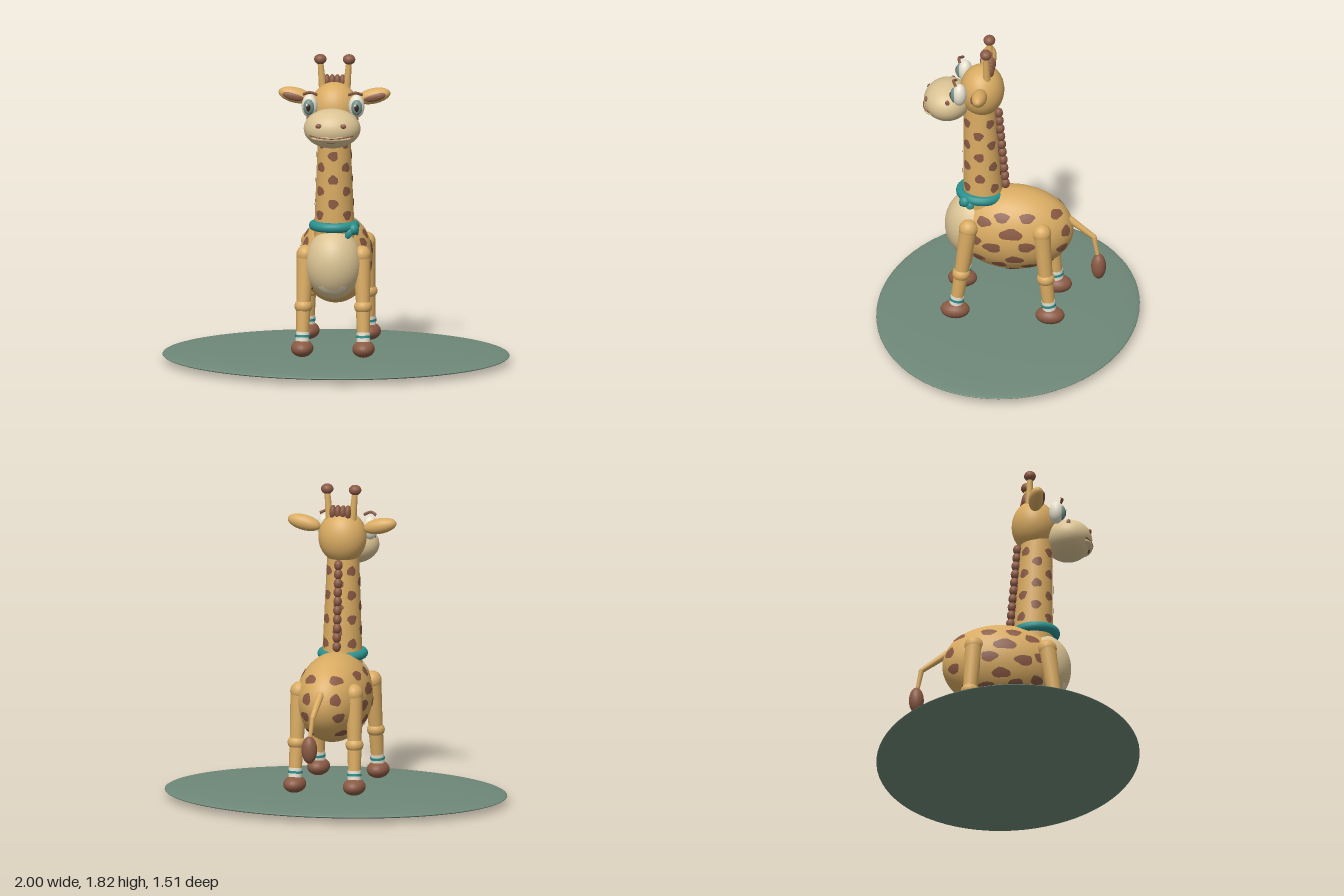
import * as THREE from 'three';

const mat = (name, color) => Object.assign(new THREE.MeshStandardMaterial({ color }), { name });

export function createModel() {
  const tan = mat('tan coat', 0xd9ab62), brown = mat('brown', 0x8a5a44);
  const cream = mat('cream', 0xdac394), teal = mat('teal', 0x2a918e);
  const green = mat('grey green', 0x6e8878), white = mat('off white', 0xeae4d2);
  const iris = mat('iris grey', 0x74928a), dark = mat('dark', 0x33231c);
  const pale = mat('pale cream', 0xe6d9b8);

  const model = new THREE.Group();
  model.name = 'giraffe';
  const V = (x, y, z) => new THREE.Vector3(x, y, z);
  const group = (name, parent = model) => {
    const g = new THREE.Group();
    g.name = name;
    parent.add(g);
    return g;
  };
  const add = (name, geo, m, parent = model) => {
    const mesh = new THREE.Mesh(geo, m);
    mesh.name = name;
    parent.add(mesh);
    return mesh;
  };
  // Ellipsoid from centre, radii and rotation
  const ball = (name, m, pos, rad, parent, rot = [0, 0, 0], seg = 28) => {
    const mesh = add(name, new THREE.SphereGeometry(1, seg, Math.round(seg * 0.65)), m, parent);
    mesh.position.set(...pos);
    mesh.scale.set(...rad);
    mesh.rotation.set(...rot);
    return mesh;
  };
  // Tapered limb between two points
  const limb = (name, m, a, b, ra, rb, parent) => {
    const d = b.clone().sub(a);
    const mesh = add(name, new THREE.CylinderGeometry(rb, ra, d.length(), 24), m, parent);
    mesh.position.copy(a).add(b).multiplyScalar(0.5);
    mesh.quaternion.setFromUnitVectors(V(0, 1, 0), d.normalize());
    return mesh;
  };
  const tube = (name, m, pts, r, parent) =>
    add(name, new THREE.TubeGeometry(new THREE.CatmullRomCurve3(pts), 20, r, 8), m, parent);
  // Uneven disc laid onto a surface by a rule
  const patch = (name, m, rx, ry, seed, place, parent) => {
    const geo = new THREE.RingGeometry(0.001, 1, 14, 4);
    const p = geo.attributes.position;
    for (let i = 0; i < p.count; i++) {
      const x = p.getX(i), y = p.getY(i), a = Math.atan2(y, x);
      const w = 1 + 0.1 * Math.sin(3 * a + seed) + 0.06 * Math.sin(5 * a + seed * 2);
      const q = place(x * rx * w, y * ry * w);
      p.setXYZ(i, q.x, q.y, q.z);
    }
    geo.computeVertexNormals();
    return add(name, geo, m, parent);
  };

  // Ground disc
  ball('ground', green, [0, 0.04, 0], [1, 0.04, 0.755], model, [0, 0, 0], 72);

  // Body and chest
  const bodyC = V(0, 0.605, -0.03), bodyR = V(0.21, 0.257, 0.35);
  const chestC = V(0, 0.61, 0.2), chestR = V(0.165, 0.205, 0.165);
  ball('body', tan, bodyC.toArray(), bodyR.toArray(), model, [0, 0, 0], 48);
  ball('chest', cream, chestC.toArray(), chestR.toArray(), model, [0, 0, 0], 40);

  // Pale crescent on the chest
  const crescent = new THREE.RingGeometry(0.6, 1, 24, 4, Math.PI * 1.1, Math.PI * 0.8);
  const cp = crescent.attributes.position;
  for (let i = 0; i < cp.count; i++) {
    const x = cp.getX(i) * 0.09, y = 0.515 + cp.getY(i) * 0.06;
    const k = (x / chestR.x) ** 2 + ((y - chestC.y) / chestR.y) ** 2;
    cp.setXYZ(i, x, y, chestC.z + 0.003 + chestR.z * Math.sqrt(1 - k));
  }
  crescent.computeVertexNormals();
  add('chestCrescent', crescent, pale);

  // Coat spots: z, y, half width, half height, on both flanks
  const spots = group('bodySpots');
  [[0.015, 0.755, 0.045, 0.03], [0.12, 0.72, 0.045, 0.03], [-0.04, 0.665, 0.07, 0.035],
    [0.07, 0.57, 0.055, 0.032], [-0.13, 0.755, 0.045, 0.03], [-0.29, 0.75, 0.045, 0.03],
    [-0.345, 0.645, 0.035, 0.035], [-0.325, 0.54, 0.04, 0.03], [-0.13, 0.585, 0.05, 0.032],
    [-0.06, 0.49, 0.055, 0.03], [0.03, 0.44, 0.045, 0.028], [-0.14, 0.425, 0.045, 0.028],
    [0.15, 0.47, 0.04, 0.028], [-0.24, 0.435, 0.045, 0.028], [-0.22, 0.66, 0.04, 0.035],
    [0.17, 0.6, 0.04, 0.03], [-0.04, 0.385, 0.04, 0.03],
  ].forEach(([z, y, w, h], i) => [1, -1].forEach((s) => {
    const uz = (z - bodyC.z) / bodyR.z, uy = (y - bodyC.y) / bodyR.y;
    const c = V(s * Math.sqrt(Math.max(0.01, 1 - uz * uz - uy * uy)), uy, uz).multiply(bodyR);
    const n = c.clone().divide(bodyR).divide(bodyR).normalize();
    const a = V(0, 1, 0).cross(n).normalize(), b = n.clone().cross(a);
    patch('bodySpot', brown, w, h, i * 1.7, (x, v) => {
      const q = c.clone().addScaledVector(a, x).addScaledVector(b, v).divide(bodyR).normalize();
      return q.multiplyScalar(1.012).multiply(bodyR).add(bodyC);
    }, spots);
  }));

  // Neck with staggered spots
  const neckR = (y) => 0.118 - (y - 0.75) * 0.04;
  const neckZ = (y) => 0.142 + (y - 0.75) * 0.036;
  limb('neck', tan, V(0, 0.75, neckZ(0.75)), V(0, 1.42, neckZ(1.42)), neckR(0.75), neckR(1.42));
  const neckSpots = group('neckSpots');
  for (let row = 0; row < 7; row++) for (let k = 0; k < 4; k++) {
    const y0 = 0.9 + row * 0.07, t0 = (k + (row % 2 ? 0 : 0.5)) * Math.PI / 2;
    patch('neckSpot', brown, 0.03, 0.028, row + k * 2, (x, v) => {
      const y = y0 + v, r = neckR(y) + 0.003, t = t0 + x / r;
      return V(r * Math.sin(t), y, neckZ(y) + r * Math.cos(t));
    }, neckSpots);
  }

  // Mane down the back of the neck
  const mane = group('mane');
  for (let i = 0; i < 10; i++) {
    const t = i / 9;
    ball('maneTuft', brown, [0, 1.36 - 0.47 * t, 0.055 - 0.04 * t], [0.025, 0.031, 0.026], mane, [0, 0, 0], 16);
  }

  // Scarf with side knot
  const scarf = group('scarf');
  const ring = add('scarfRing', new THREE.TorusGeometry(0.118, 0.028, 14, 40), teal, scarf);
  ring.position.set(0, 0.828, 0.155);
  ring.rotation.x = Math.PI / 2 - 0.04;
  ball('scarfKnot', teal, [0.115, 0.82, 0.235], [0.033, 0.034, 0.033], scarf);
  ball('scarfTail', teal, [0.09, 0.797, 0.26], [0.02, 0.03, 0.012], scarf, [0, 0, -0.4]);
  ball('scarfTail', teal, [0.13, 0.803, 0.205], [0.012, 0.024, 0.025], scarf, [0, 0, 0.3]);

  // Head and muzzle
  const head = group('head');
  ball('skull', tan, [0, 1.51, 0.15], [0.14, 0.155, 0.128], head, [0, 0, 0], 40);
  ball('muzzle', cream, [0, 1.432, 0.35], [0.164, 0.114, 0.137], head, [0, 0, 0], 40);
  ball('lowerLip', cream, [0, 1.39, 0.435], [0.115, 0.024, 0.055], head);
  tube('mouth', brown, [V(-0.125, 1.405, 0.437), V(-0.07, 1.398, 0.474), V(0, 1.396, 0.489),
    V(0.07, 1.398, 0.474), V(0.125, 1.405, 0.437)], 0.004, head);
  ball('chinMark', brown, [0, 1.371, 0.466], [0.032, 0.005, 0.008], head);
  for (let i = 0; i < 4; i++) {
    ball('foreTuft', brown, [-0.045 + i * 0.03, 1.66, 0.105], [0.02, 0.043, 0.03], head, [0, 0, 0], 16);
  }

  [1, -1].forEach((s) => {
    const side = s > 0 ? 'left' : 'right';
    const f = group(side + 'Face', head);
    ball('nostril', brown, [s * 0.07, 1.465, 0.465], [0.019, 0.014, 0.012], f);
    ball('cheekSpot', brown, [s * 0.142, 1.485, 0.335], [0.008, 0.02, 0.013], f);

    // Eye
    ball('eyeWhite', white, [s * 0.135, 1.547, 0.265], [0.046, 0.068, 0.042], f);
    ball('iris', iris, [s * 0.138, 1.545, 0.292], [0.032, 0.047, 0.027], f);
    ball('pupil', dark, [s * 0.139, 1.545, 0.31], [0.015, 0.025, 0.012], f);
    ball('eyeGlint', white, [s * 0.139 - 0.009, 1.56, 0.319], [0.006, 0.008, 0.005], f, [0, 0, 0], 12);
    tube('brow', brown, [V(s * 0.09, 1.617, 0.29), V(s * 0.13, 1.632, 0.3), V(s * 0.17, 1.617, 0.28)], 0.008, f);

    // Ear
    ball('ear', tan, [s * 0.225, 1.585, 0.14], [0.1, 0.045, 0.045], f, [0, 0, s * 0.22]);
    ball('innerEar', brown, [s * 0.233, 1.583, 0.172], [0.066, 0.024, 0.016], f, [0, 0, s * 0.22]);

    // Horn
    limb('horn', tan, V(s * 0.068, 1.61, 0.115), V(s * 0.083, 1.785, 0.118), 0.023, 0.016, f);
    ball('hornTip', brown, [s * 0.083, 1.793, 0.118], [0.036, 0.03, 0.034], f);

    // Legs: shoulder, knee and hoof positions along z
    [['front', 0.21, 0.25, 0.285], ['back', -0.215, -0.24, -0.265]].forEach(([end, zs, zk, zh]) => {
      const leg = group(side + end[0].toUpperCase() + end.slice(1) + 'Leg');
      const shoulder = V(s * 0.163, 0.665, zs), knee = V(s * 0.172, 0.37, zk), foot = V(s * 0.177, 0.13, zh);
      ball('shoulder', tan, shoulder.toArray(), [0.052, 0.056, 0.055], leg);
      limb('upperLeg', tan, shoulder, knee, 0.051, 0.04, leg);
      ball('knee', tan, knee.toArray(), [0.052, 0.044, 0.052], leg);
      limb('lowerLeg', tan, knee, foot, 0.042, 0.034, leg);
      const at = (y) => knee.clone().lerp(foot, (0.37 - y) / 0.24);
      limb('anklet', white, at(0.17), at(0.224), 0.039, 0.039, leg);
      limb('ankletStripe', teal, at(0.192), at(0.206), 0.042, 0.042, leg);
      ball('hoof', brown, [foot.x, 0.13, zh], [0.065, 0.05, 0.084], leg);
    });
  });

  // Tail
  const tail = group('tail');
  const t = [V(0, 0.68, -0.35), V(0.01, 0.57, -0.5), V(0.02, 0.44, -0.525)];
  limb('tailBase', tan, t[0], t[1], 0.022, 0.015, tail);
  ball('tailJoint', tan, t[1].toArray(), [0.015, 0.015, 0.015], tail, [0, 0, 0], 14);
  limb('tailEnd', tan, t[1], t[2], 0.015, 0.011, tail);
  ball('tailTuft', brown, [0.022, 0.385, -0.528], [0.045, 0.08, 0.043], tail);

  return model;
}
